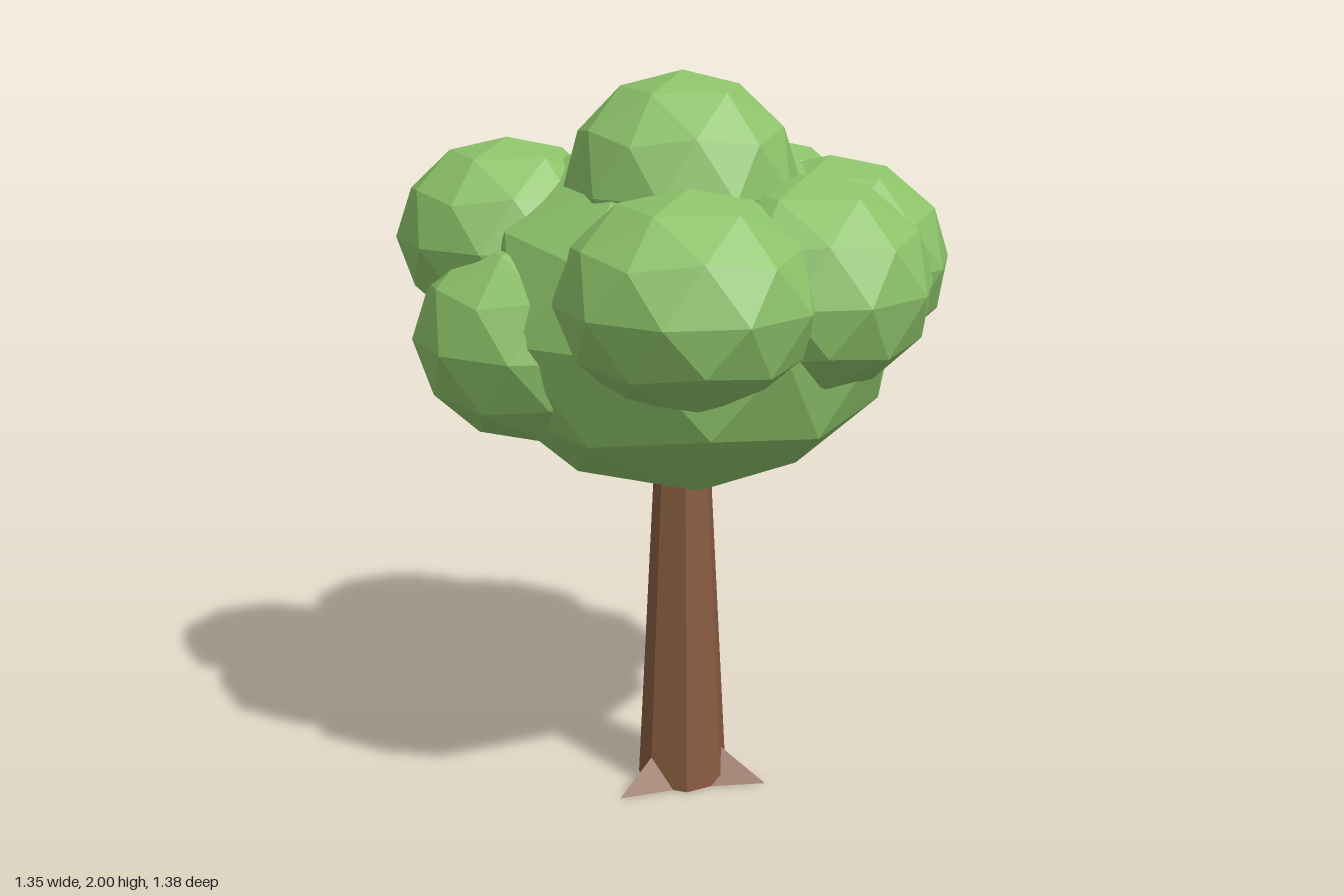
import * as THREE from 'three';

export function createModel() {
  const tree = new THREE.Group();
  tree.name = 'tree';

  const leafGreen = new THREE.MeshStandardMaterial({ color: 0x8cc269, flatShading: true });
  leafGreen.name = 'leaf green';
  const barkBrown = new THREE.MeshStandardMaterial({ color: 0x875b40, flatShading: true });
  barkBrown.name = 'bark brown';

  // Faceted ball, turned so that a five-sided corner points straight up
  const ball = new THREE.IcosahedronGeometry(1, 1);
  ball.rotateZ(-Math.atan(2 / (1 + Math.sqrt(5))));

  function addFoliage(name, x, y, z, radius, halfHeight) {
    const mesh = new THREE.Mesh(ball, leafGreen);
    mesh.name = name;
    mesh.position.set(x, y, z);
    mesh.scale.set(radius, halfHeight, radius);
    tree.add(mesh);
  }

  // Big crown with smaller clumps around it
  addFoliage('crown', -0.02, 1.35, 0, 0.59, 0.48);
  addFoliage('topClump', 0.045, 1.705, 0.062, 0.31, 0.295);
  addFoliage('frontRightClump', -0.39, 1.545, 0.29, 0.3, 0.26);
  addFoliage('frontLowClump', -0.195, 1.31, 0.35, 0.335, 0.285);
  addFoliage('frontLeftClump', 0.29, 1.47, 0.275, 0.34, 0.28);
  addFoliage('leftClump', 0.36, 1.47, -0.08, 0.33, 0.285);
  addFoliage('backLeftClump', 0.175, 1.47, -0.36, 0.33, 0.28);
  addFoliage('backClump', -0.105, 1.49, -0.36, 0.33, 0.28);
  addFoliage('backRightClump', -0.358, 1.475, -0.21, 0.325, 0.28);

  // Tapered trunk
  const trunkX = -0.02;
  const trunk = new THREE.Mesh(new THREE.CylinderGeometry(0.07, 0.127, 1.1, 7), barkBrown);
  trunk.name = 'trunk';
  trunk.position.set(trunkX, 0.55, 0);
  tree.add(trunk);

  // Three pointed roots: a triangular section tapering to a tip along +z
  const ridge = [0, 0.1, 0.105], left = [0.065, 0, 0.09], right = [-0.065, 0, 0.09], tip = [0, 0, 0.24];
  const rootGeometry = new THREE.BufferGeometry();
  rootGeometry.setAttribute('position', new THREE.Float32BufferAttribute([
    ridge, tip, left,
    ridge, right, tip,
    left, tip, right,
    ridge, left, right,
  ].flat(), 3));
  rootGeometry.computeVertexNormals();

  for (let i = 0; i < 3; i++) {
    const root = new THREE.Mesh(rootGeometry, barkBrown);
    root.name = 'root' + (i + 1);
    root.position.x = trunkX;
    root.rotation.y = (i * Math.PI * 2) / 3;
    tree.add(root);
  }

  return tree;
}
